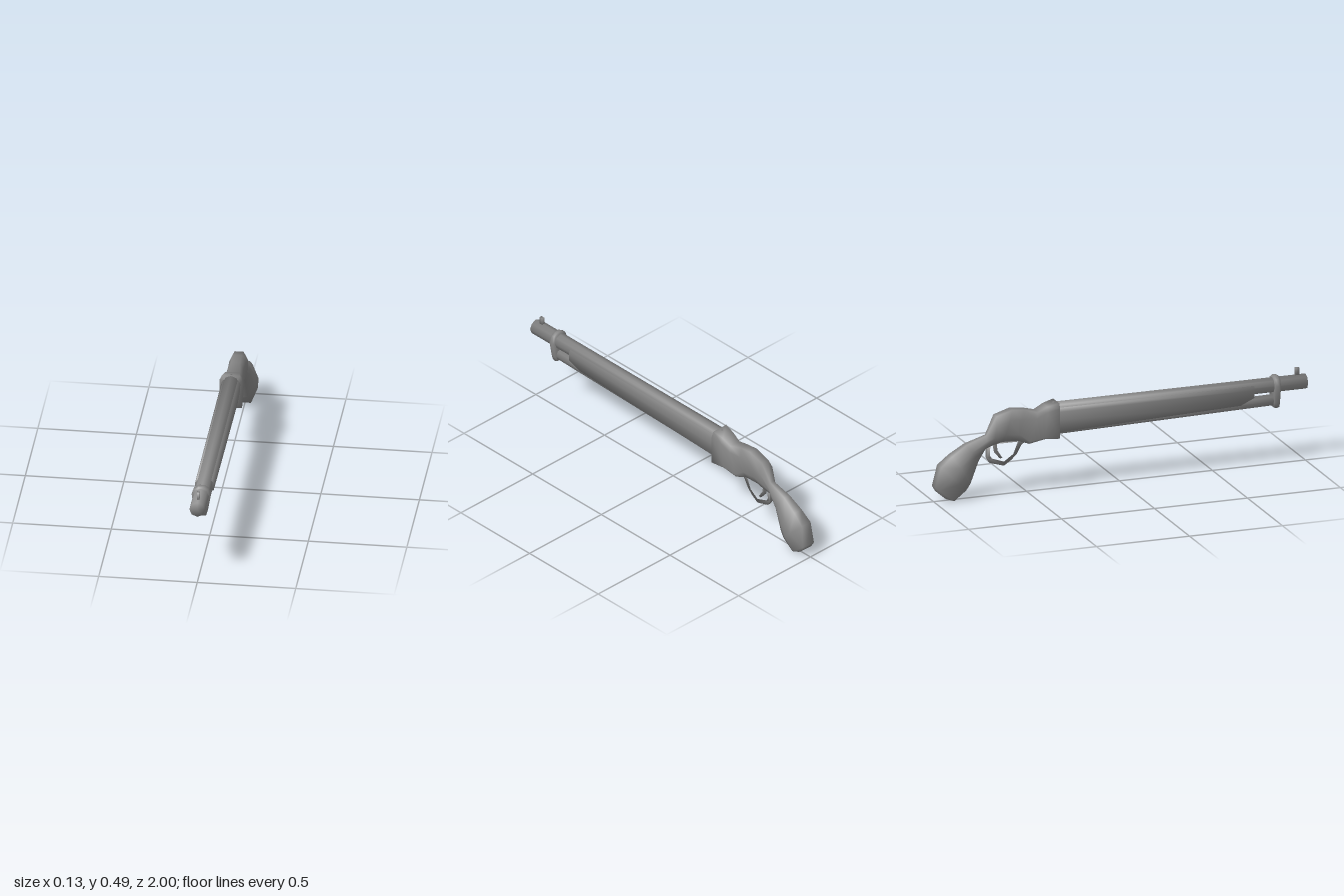
import * as THREE from 'three';
import { toCreasedNormals } from 'three/addons/utils/BufferGeometryUtils.js';

const material = new THREE.MeshStandardMaterial({ color: 0x868686 });

// Every part is shaded fully smooth, also across its end faces
function add(group, name, geometry) {
  const mesh = new THREE.Mesh(toCreasedNormals(geometry, Math.PI), material);
  mesh.name = name;
  group.add(mesh);
}

// Skin over rings of [x, y, z] points that run from front to back, with flat caps
function loft(rings) {
  const n = rings[0].length;
  const points = rings.flat();
  const last = (rings.length - 1) * n;
  const index = [];
  const centre = (ring) => [0, 1, 2].map((k) => ring.reduce((sum, p) => sum + p[k], 0) / n);
  const front = points.push(centre(rings[0])) - 1;
  const back = points.push(centre(rings[rings.length - 1])) - 1;
  for (let j = 0; j < n; j++) {
    const k = (j + 1) % n;
    for (let i = 0; i < last; i += n) index.push(i + j, i + j + n, i + k, i + k, i + j + n, i + k + n);
    index.push(front, j, k, back, last + k, last + j);
  }
  const g = new THREE.BufferGeometry();
  g.setAttribute('position', new THREE.Float32BufferAttribute(points.flat(), 3));
  g.setIndex(index);
  return g;
}

// Eight-sided ring between a top and a bottom point; square 1 = boxy, 0 = rounded
function section([topZ, topY, botZ, botY, w, square]) {
  const mix = (a, b) => THREE.MathUtils.lerp(a, b, square);
  const low = mix(0.35, 0.01), high = mix(0.62, 0.86);
  const top = mix(0.45, 0.78), bottom = mix(0.45, 0.99);
  return [
    [1, low], [1, high], [top, 1], [-top, 1],
    [-1, high], [-1, low], [-bottom, 0], [bottom, 0],
  ].map(([x, t]) => [
    x * w, THREE.MathUtils.lerp(botY, topY, t), THREE.MathUtils.lerp(botZ, topZ, t),
  ]);
}

// Side-on (z, y) outline extruded across x
function sidePlate(outline, width, hole) {
  const shape = new THREE.Shape(outline.map(([z, y]) => new THREE.Vector2(z, y)));
  if (hole) shape.holes.push(new THREE.Path(hole.map(([z, y]) => new THREE.Vector2(z, y))));
  return new THREE.ExtrudeGeometry(shape, { depth: width, bevelEnabled: false })
    .translate(0, 0, -width / 2).rotateY(-Math.PI / 2);
}

export function createModel() {
  const model = new THREE.Group();
  model.name = 'longGun';

  // Barrel
  add(model, 'barrel', new THREE.CylinderGeometry(0.04, 0.04, 1.36, 8)
    .rotateX(Math.PI / 2).translate(0, 0.419, 0.32));

  // Front sight
  add(model, 'frontSight', new THREE.BoxGeometry(0.013, 0.045, 0.02).translate(0, 0.473, 0.955));

  // Tube under the barrel, sloping down a little to the rear
  const tubeRing = (z, y, r) => Array.from({ length: 8 }, (_, i) => {
    const a = i / 8 * Math.PI * 2;
    return [r * Math.cos(a), y + r * Math.sin(a), z];
  });
  add(model, 'magazineTube', loft([tubeRing(0.835, 0.34, 0.03), tubeRing(-0.36, 0.315, 0.03)]));

  // Pear-shaped band joining barrel and tube, with softened edges
  const half = [[0.025, 0.302], [0.033, 0.33], [0.049, 0.42], [0.037, 0.455], [0.015, 0.469]];
  const pear = [...half, ...half.map(([x, y]) => [-x, y]).reverse()];
  const bandRing = (z, s) => pear.map(([x, y]) => [x * s, 0.385 + (y - 0.385) * s, z]);
  add(model, 'barrelBand', loft([
    bandRing(0.852, 0.95), bandRing(0.842, 1), bandRing(0.828, 1), bandRing(0.82, 0.95),
  ]));

  // Fore-end: U-shaped trough with a cut-back lower front
  const foreEnd = [[0.71, 0.64, 0.337], [-0.36, -0.36, 0.303]].map(([zTop, zLow, yLow]) => [
    [0.046, 0.375, zTop], [0.048, 0.415, zTop], [0.04, 0.434, zTop],
    [-0.04, 0.434, zTop], [-0.048, 0.415, zTop], [-0.046, 0.375, zTop],
    [-0.034, yLow, zLow], [0.034, yLow, zLow],
  ]);
  add(model, 'foreEnd', loft(foreEnd));

  // Receiver flowing into the curved grip: [top z, top y, bottom z, bottom y, half width, square]
  add(model, 'receiverAndGrip', loft([
    [-0.34, 0.461, -0.34, 0.278, 0.057, 1],
    [-0.40, 0.446, -0.42, 0.281, 0.050, 0.9],
    [-0.45, 0.421, -0.50, 0.263, 0.044, 0.8],
    [-0.52, 0.440, -0.56, 0.283, 0.040, 0.4],
    [-0.585, 0.446, -0.64, 0.285, 0.042, 0.3],
    [-0.67, 0.420, -0.69, 0.272, 0.044, 0.2],
    [-0.72, 0.322, -0.725, 0.252, 0.024, 0],
    [-0.83, 0.285, -0.765, 0.195, 0.041, 0],
    [-0.91, 0.235, -0.81, 0.085, 0.056, 0],
    [-0.97, 0.185, -0.835, 0.052, 0.067, 0],
    [-1.00, 0.080, -0.90, 0.002, 0.034, 0.8],
    [-0.985, 0.052, -0.945, 0.018, 0.030, 0.8],
  ].map(section)));

  // Trigger guard loop
  add(model, 'triggerGuard', sidePlate(
    [[-0.50, 0.275], [-0.53, 0.255], [-0.555, 0.21], [-0.585, 0.18], [-0.625, 0.153],
      [-0.70, 0.176], [-0.718, 0.205], [-0.715, 0.28]], 0.02,
    [[-0.55, 0.272], [-0.575, 0.21], [-0.625, 0.175], [-0.69, 0.198], [-0.70, 0.215], [-0.698, 0.272]]));

  // Trigger
  add(model, 'trigger', sidePlate(
    [[-0.685, 0.29], [-0.665, 0.29], [-0.658, 0.235], [-0.632, 0.195],
      [-0.645, 0.193], [-0.672, 0.225]], 0.014));

  return model;
}
